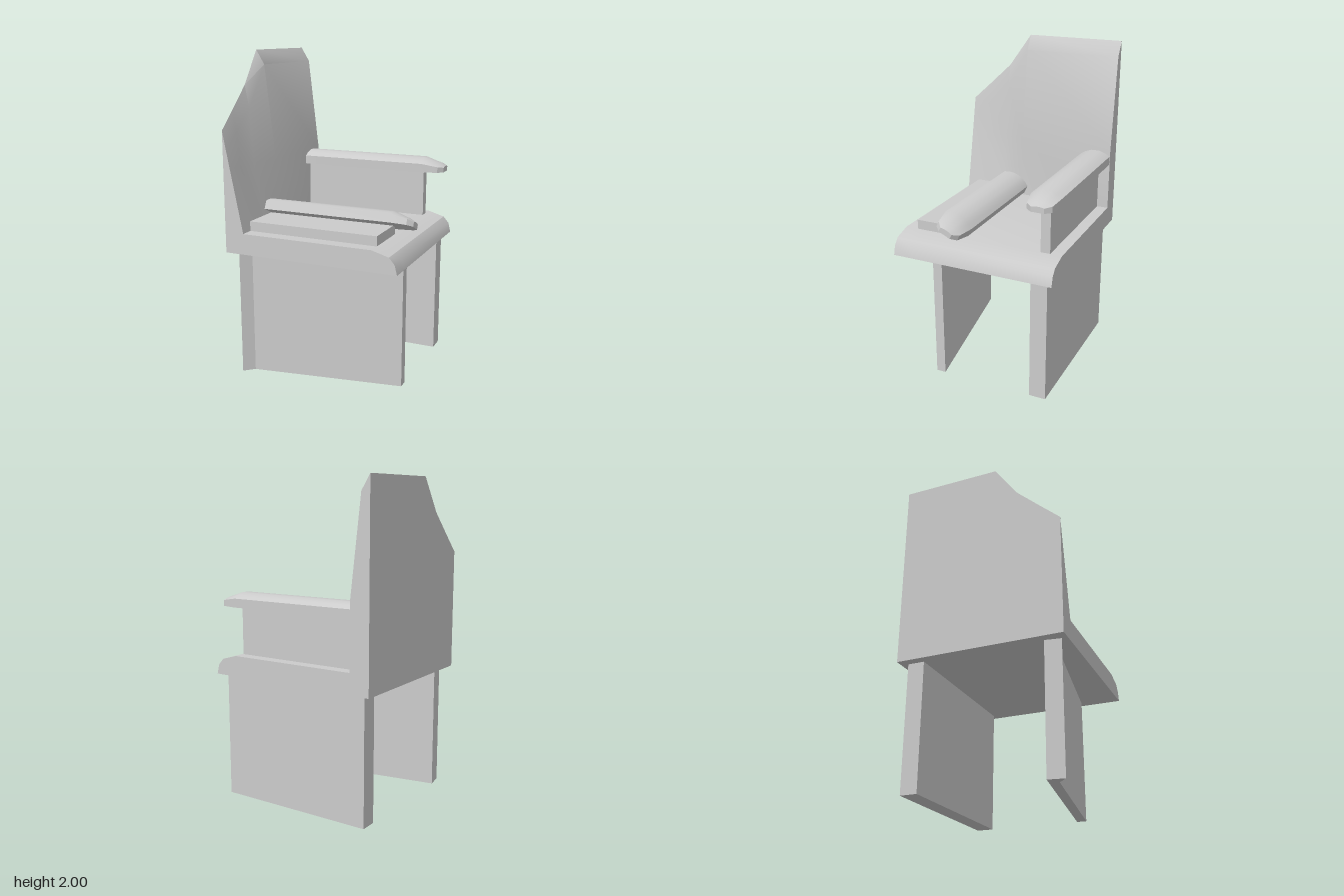
import * as THREE from 'three';
import { toCreasedNormals } from 'three/addons/utils/BufferGeometryUtils.js';

const material = new THREE.MeshStandardMaterial({ color: 0xcccccc });

// Skins a row of counter-clockwise 2D sections; place(u, v, t) puts a point in space.
function loft(sections, place) {
  const pos = [];
  const tri = (...pts) => pts.forEach((p) => pos.push(...p));
  const rings = sections.map(({ t, pts }) => pts.map(([u, v]) => place(u, v, t)));
  for (let i = 0; i < rings.length - 1; i++) {
    const a = rings[i], b = rings[i + 1], n = a.length;
    for (let j = 0; j < n; j++) {
      const k = (j + 1) % n;
      tri(a[j], a[k], b[k]);
      tri(a[j], b[k], b[j]);
    }
  }
  // End caps
  const cap = (i, flip) => {
    const flat = sections[i].pts.map(([u, v]) => new THREE.Vector2(u, v));
    for (const [a, b, c] of THREE.ShapeUtils.triangulateShape(flat, [])) {
      const r = rings[i];
      if (flip) tri(r[a], r[c], r[b]);
      else tri(r[a], r[b], r[c]);
    }
  };
  cap(0, true);
  cap(sections.length - 1, false);
  const geo = new THREE.BufferGeometry();
  geo.setAttribute('position', new THREE.Float32BufferAttribute(pos, 3));
  return toCreasedNormals(geo, 0.5);
}

function addMesh(parent, name, geometry) {
  const mesh = new THREE.Mesh(geometry, material);
  mesh.name = name;
  parent.add(mesh);
  return mesh;
}

function addBox(parent, name, [x0, x1], [y0, y1], [z0, z1]) {
  const mesh = addMesh(parent, name, new THREE.BoxGeometry(x1 - x0, y1 - y0, z1 - z0));
  mesh.position.set((x0 + x1) / 2, (y0 + y1) / 2, (z0 + z1) / 2);
}

// Seat and backrest in one piece; the backrest is broken away towards +z
function seatAndBack() {
  const sections = [
    // z, top height, ridge, knee
    [-0.52, 2.0, [-0.505, 1.91], [-0.435, 1.31]],
    [0.1, 2.0, [-0.505, 1.91], [-0.435, 1.31]],
    [0.25, 1.79, [-0.532, 1.65], [-0.51, 1.31]],
    [0.4, 1.65, [-0.535, 1.52], [-0.512, 1.31]],
    [0.52, 1.54, [-0.537, 1.425], [-0.514, 1.31]],
  ].map(([t, top, ridge, knee]) => ({
    t,
    pts: [
      [-0.56, 0.79], [0.555, 0.79], [0.54, 0.85], [0.505, 0.89], [0.4, 0.92],
      [-0.435, 0.92], knee, ridge, [-0.56, top],
    ],
  }));
  return loft(sections, (u, v, t) => [u, v, t]);
}

// Padded armrest with a tapered front, its underside at y = 0
function armrest() {
  const sections = [
    // x, half width, side height, top height
    [-0.435, 0.097, 0.055, 0.087],
    [0.4, 0.097, 0.055, 0.087],
    [0.505, 0.077, 0.037, 0.053],
    [0.537, 0.04, 0.03, 0.036],
  ].map(([t, w, side, top]) => {
    const mid = side + (top - side) * 0.55;
    return {
      t,
      pts: [
        [-w, 0], [w, 0], [w, side], [w * 0.7, mid], [w * 0.28, top],
        [-w * 0.28, top], [-w * 0.7, mid], [-w, side],
      ],
    };
  });
  return loft(sections, (u, v, t) => [t, v, -u]);
}

// Skewed leg panel with a splayed rear edge, as [z, x] outline
function skewedLeg() {
  const pts = [
    [0.385, -0.505], [0.485, -0.49], [0.43, -0.43], [0.275, 0.505], [0.215, 0.505],
  ];
  // Keep the outline counter-clockwise
  if (THREE.ShapeUtils.area(pts.map(([x, y]) => ({ x, y }))) < 0) pts.reverse();
  return loft([{ t: 0, pts }, { t: 0.79, pts }], (u, v, t) => [v, t, u]);
}

export function createModel() {
  const chair = new THREE.Group();
  chair.name = 'brokenChair';

  addMesh(chair, 'seatAndBackrest', seatAndBack());

  // Intact side
  addBox(chair, 'standingLegPanel', [-0.505, 0.505], [0, 0.79], [-0.475, -0.37]);
  addBox(chair, 'standingArmPanel', [-0.435, 0.4], [0.92, 1.22], [-0.447, -0.387]);
  addMesh(chair, 'standingArmrest', armrest()).position.set(0, 1.22, -0.42);

  // Collapsed side
  addMesh(chair, 'skewedLegPanel', skewedLeg());
  addBox(chair, 'fallenArmPanel', [-0.435, 0.4], [0.92, 0.98], [0.145, 0.437]);
  const fallen = addMesh(chair, 'fallenArmrest', armrest());
  fallen.position.set(0, 0.978, 0.172);
  fallen.rotation.x = -0.45;

  return chair;
}
